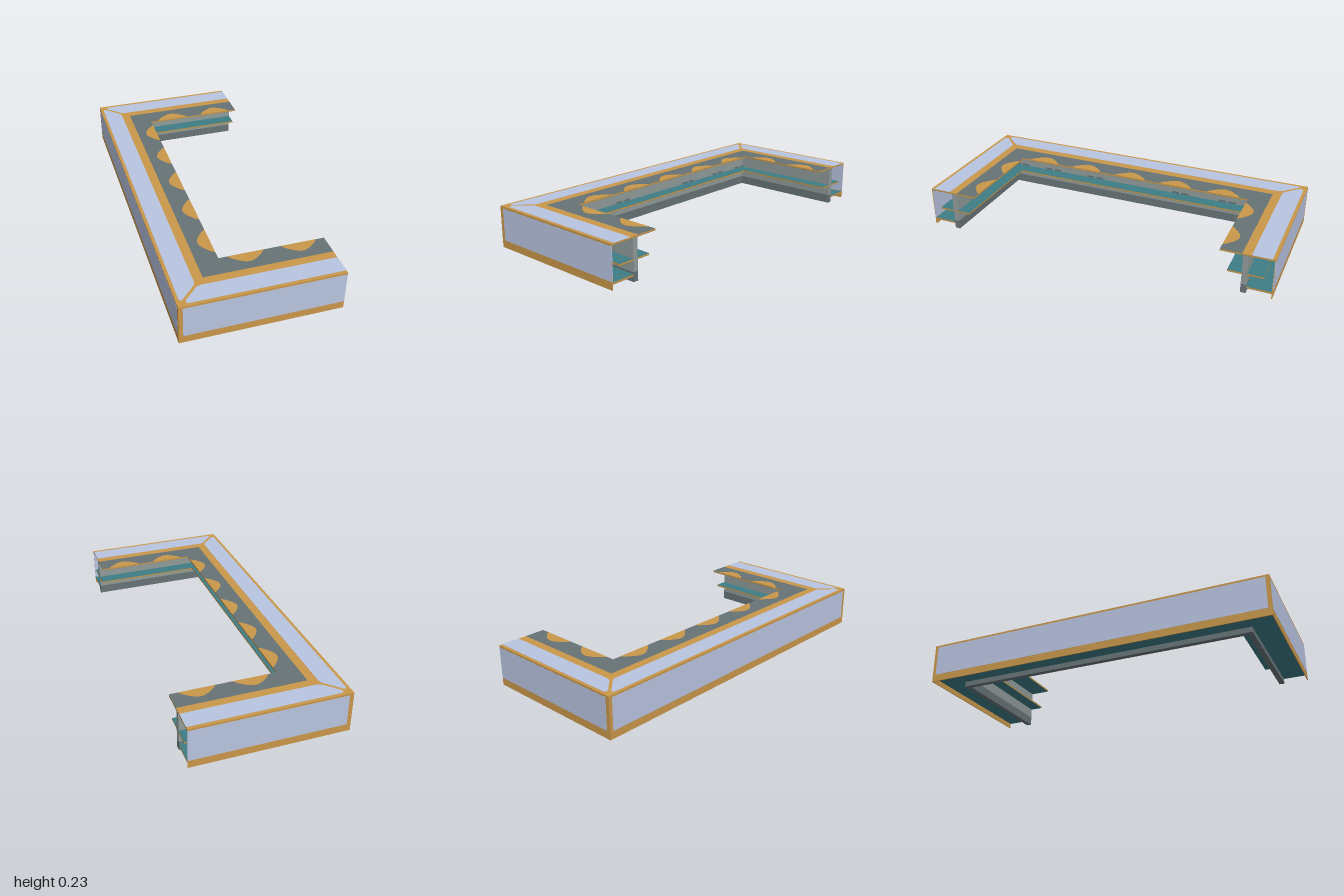
import * as THREE from 'three';

const X0 = -0.4275, X1 = 0.4275, Z1 = 1, H = 0.23;
const SKIN = 0.0007; // thickness of the thin coloured faces

export function createModel() {
  const root = new THREE.Group();
  const mat = (name, color) => {
    const m = new THREE.MeshStandardMaterial({ color });
    m.name = name;
    return m;
  };
  const blue = mat('pale blue panel', 0xb8c4e0);
  const brown = mat('wood trim', 0xc9974a);
  const slate = mat('slate grey', 0x677376);
  const grey = mat('light grey', 0x909b99);
  const teal = mat('teal', 0x3e7d86);

  const add = (name, geo, material) => {
    const m = new THREE.Mesh(geo, material);
    m.name = name;
    root.add(m);
  };

  // Flat polygon in plan (x, z) raised from y0 to y1
  const slab = (name, pts, y0, y1, material) => {
    const shape = new THREE.Shape(pts.map(([x, z]) => new THREE.Vector2(x, -z)));
    const geo = new THREE.ExtrudeGeometry(shape, { depth: y1 - y0, bevelEnabled: false });
    geo.rotateX(-Math.PI / 2).translate(0, y0, 0);
    add(name, geo, material);
  };

  // U-shaped band lying between two inward offsets of the outer edge
  const band = (name, d0, d1, y0, y1, material) => slab(name, [
    [X1, Z1 - d0], [X0 + d0, Z1 - d0], [X0 + d0, -Z1 + d0], [X1, -Z1 + d0],
    [X1, -Z1 + d1], [X0 + d1, -Z1 + d1], [X0 + d1, Z1 - d1], [X1, Z1 - d1],
  ], y0, y1, material);

  const box = (name, xa, xb, ya, yb, za, zb, material) => {
    const geo = new THREE.BoxGeometry(xb - xa, yb - ya, zb - za);
    geo.translate((xa + xb) / 2, (ya + yb) / 2, (za + zb) / 2);
    add(name, geo, material);
  };

  // Wooden board with teal faces above and below
  const shelf = (name, d0, d1, y0, y1) => {
    band(name + 'Core', d0, d1, y0, y1, brown);
    band(name + 'Top', d0, d1, y1, y1 + SKIN, teal);
    band(name + 'Underside', d0, d1, y0 - SKIN, y0, teal);
  };

  // Outer wall: wood frame with blue panels showing on both faces
  band('outerWall', SKIN, 0.005, 0, 0.22, brown);
  box('backPanel', X0, X0 + 0.005 + SKIN, 0.042, 0.218, -0.98, 0.98, blue);
  for (const s of [1, -1]) {
    const a = s * Z1, b = s * (Z1 - 0.005 - SKIN);
    box('sidePanel', X0 + 0.023, X1, 0.042, 0.218, Math.min(a, b), Math.max(a, b), blue);
  }

  // Inner wall and kick strip
  band('innerWall', 0.136, 0.165, 0.05, 0.219, grey);
  band('kickStrip', 0.136, 0.165, 0, 0.05, slate);

  // Raised floor and middle shelf
  shelf('floor', 0.006, 0.136, 0.03, 0.04);
  shelf('shelf', 0.05, 0.24, 0.108, 0.117);

  // Counter top
  band('counterUnderside', 0.006, 0.285, 0.22 - SKIN, 0.22, teal);
  band('counterCore', SKIN, 0.285, 0.22, H - SKIN, brown);
  band('counterInlay', 0.17, 0.285, H - SKIN, H - SKIN / 2, slate);

  // Blue top panels, mitred at the corners
  slab('backTopPanel', [
    [-0.41, 0.945], [-0.405, 0.955], [-0.395, 0.955], [-0.315, 0.872], [-0.307, 0.85],
    [-0.307, -0.85], [-0.315, -0.872], [-0.395, -0.955], [-0.405, -0.955], [-0.41, -0.945],
  ], H - SKIN, H, blue);
  for (const s of [1, -1]) {
    slab('sideTopPanel', [
      [X1, 0.982], [-0.37, 0.982], [-0.382, 0.975], [-0.378, 0.958],
      [-0.305, 0.885], [-0.285, 0.878], [X1, 0.878],
    ].map(([x, z]) => [x, s * z]), H - SKIN, H, blue);
  }

  // Scalloped spots along the inner edge
  const spot = [[-0.098, 0], [-0.08, 0.022], [-0.045, 0.05], [-0.015, 0.065],
    [0.015, 0.065], [0.045, 0.05], [0.08, 0.022], [0.098, 0]];
  for (const c of [-0.57, -0.285, 0, 0.285, 0.57]) {
    slab('backSpot', spot.map(([u, v]) => [X0 + 0.285 - v, c + u]), H - SKIN, H, brown);
  }
  for (const s of [1, -1]) for (const c of [0, 0.285]) {
    slab('sideSpot', spot.map(([u, v]) => [c + u, s * (Z1 - 0.285 + v)]), H - SKIN, H, brown);
  }

  // Small dark marks on the inner wall just above the shelf
  for (const c of [-0.8, -0.57, -0.28, 0.28, 0.57, 0.8]) for (const s of [1, -1]) {
    const z = c + s * 0.03;
    box('wallMark', X0 + 0.164, X0 + 0.165 + SKIN, 0.117, 0.129, z - 0.022, z + 0.022, slate);
  }
  return root;
}
